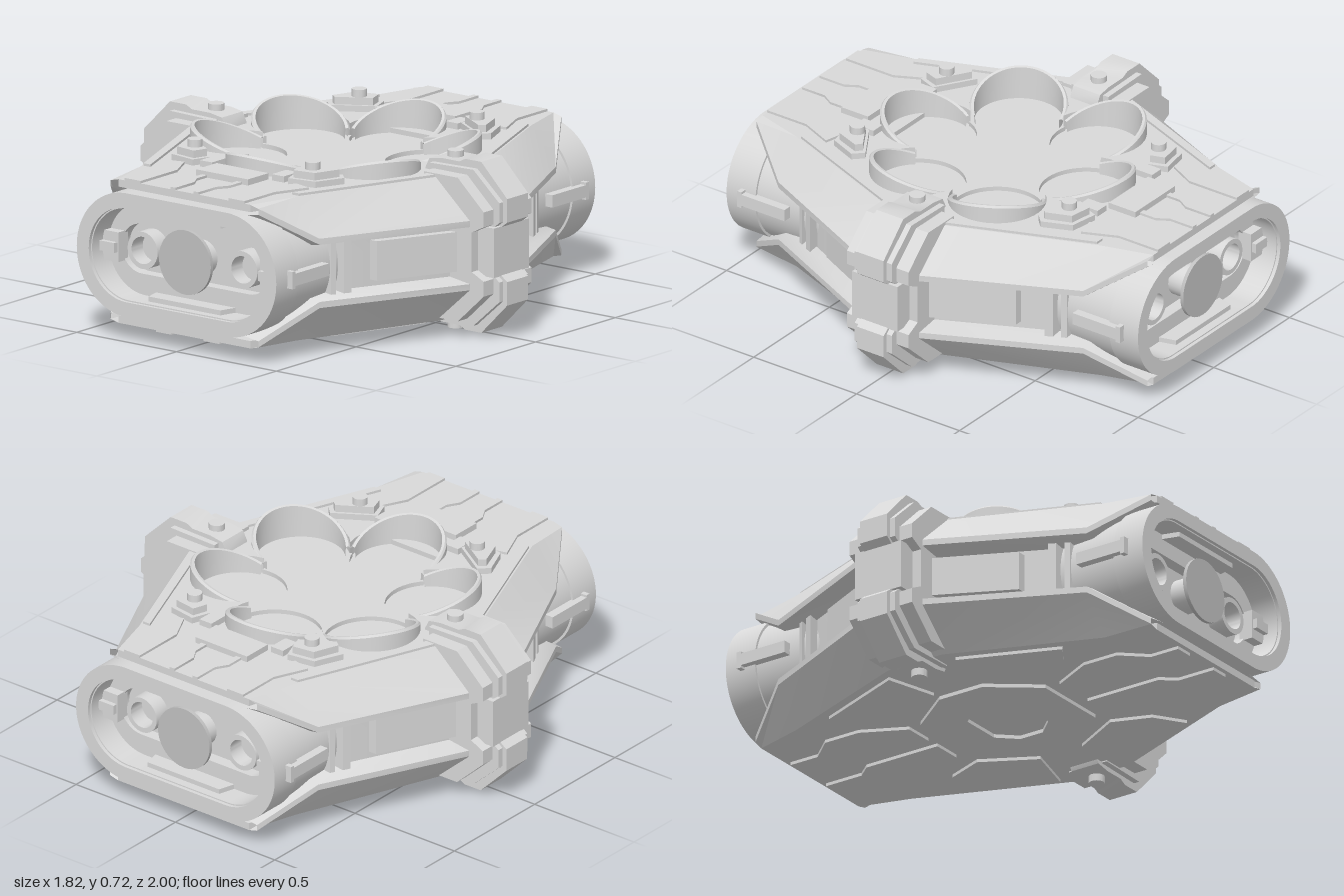
import * as THREE from 'three';
import { toCreasedNormals } from 'three/addons/utils/BufferGeometryUtils.js';

const material = (name, color) => {
  const m = new THREE.MeshStandardMaterial({ color, side: THREE.DoubleSide });
  m.name = name;
  return m;
};
const grey = material('hull grey', 0xd8d8d8);
const discGrey = material('disc grey', 0xc0c0c0);
const MID = 0.345; // height of the horizontal mirror plane

function add(parent, name, geo, mat = grey) {
  const m = new THREE.Mesh(toCreasedNormals(geo, 0.6), mat);
  m.name = name;
  parent.add(m);
}
const shapeOf = pts => new THREE.Shape(pts.map(p => new THREE.Vector2(p[0], p[1])));
const extrude = (shape, depth) =>
  new THREE.ExtrudeGeometry(shape, { depth, bevelEnabled: false, curveSegments: 20 });

// Plan outline in (x, z) raised from y0 to y1
function plan(pts, y0, y1, holePts) {
  const s = shapeOf(pts.map(([x, z]) => [x, -z]));
  if (holePts) s.holes.push(shapeOf(holePts.map(([x, z]) => [x, -z])));
  return extrude(s, y1 - y0).rotateX(-Math.PI / 2).translate(0, y0, 0);
}
const box = (w, h, d, x, y, z) => new THREE.BoxGeometry(w, h, d).translate(x, y, z);
const flip = g => g.translate(0, -MID, 0).rotateZ(Math.PI).translate(0, MID, 0);
const mirror4 = h => [...h, ...h.slice().reverse().map(([x, z]) => [x, -z]),
  ...h.map(([x, z]) => [-x, -z]), ...h.slice().reverse().map(([x, z]) => [-x, z])];

// Surface through rows of [x, y, z] points
function loft(rows) {
  const n = rows[0].length, idx = [];
  for (let i = 0; i < rows.length - 1; i++)
    for (let j = 0; j < n - 1; j++) {
      const a = i * n + j, b = a + n;
      idx.push(a, b, a + 1, b, b + 1, a + 1);
    }
  const g = new THREE.BufferGeometry();
  g.setAttribute('position', new THREE.Float32BufferAttribute(rows.flat(2), 3));
  g.setIndex(idx);
  g.computeVertexNormals();
  return g.toNonIndexed();
}

// Stadium in XY, used by the end collars
function stadium(half, r, Type = THREE.Shape) {
  const s = new Type();
  s.absarc(half, 0, r, -Math.PI / 2, Math.PI / 2, false);
  s.absarc(-half, 0, r, Math.PI / 2, Math.PI * 1.5, false);
  s.closePath();
  return s;
}
function stadiumRing(half, r, innerHalf, innerR, z0, z1) {
  const s = stadium(half, r);
  if (innerR) s.holes.push(stadium(innerHalf, innerR, THREE.Path));
  return extrude(s, z1 - z0).translate(0, 0.35, z0);
}

// Six arcs around the centre: outer rosette or inner star
const WELL_R = 0.194, WELL_D = 0.382, SPAN = 1.91;
function arcs(from, to, r) {
  const pts = [];
  for (let k = 0; k < 6; k++) {
    const a = Math.PI / 6 + k * Math.PI / 3;
    for (let i = 0; i <= 20; i++) {
      const t = a + from + (to - from) * i / 20;
      pts.push([WELL_D * Math.cos(a) + r * Math.cos(t), WELL_D * Math.sin(a) + r * Math.sin(t)]);
    }
  }
  return pts;
}

function buildHull(root) {
  const deck = mirror4([[0.33, 0.95], [0.39, 0.74], [0.63, 0.13]]);
  add(root, 'upperDeck', plan(deck, 0.605, 0.635, arcs(-SPAN, SPAN, WELL_R)));
  add(root, 'lowerDeck', plan(deck, 0.055, 0.085));
  // sloped armour on both sides, above and below
  const half = [[0.95, 0.33, 0.37, 0.6], [0.74, 0.39, 0.51, 0.46], [0.13, 0.63, 0.8, 0.46]];
  const stations = [...half, ...half.slice().reverse().map(([z, ...r]) => [-z, ...r])];
  for (const s of [1, -1]) {
    const armour = () => loft(stations.map(([z, xt, xo, yo]) => [
      [s * xt, 0.635, z], [s * xo, yo + 0.025, z], [s * xo, yo, z], [s * (xo - 0.1), yo - 0.015, z]]));
    add(root, 'upperArmour', armour());
    add(root, 'lowerArmour', flip(armour()));
  }
  add(root, 'core', plan(mirror4([[0.42, 0.7], [0.7, 0.13]]), 0.2, 0.5));
  // panels and ribs in the side recess
  const wall = z => 0.7 - (z - 0.13) * 0.491;
  for (const sx of [1, -1]) for (const sz of [1, -1]) {
    const slab = (z0, z1, out, y0, y1, name) => add(root, name, plan(
      [[wall(z0) - 0.05, z0], [wall(z0) + out, z0], [wall(z1) + out, z1], [wall(z1) - 0.05, z1]]
        .map(([x, z]) => [sx * x, sz * z]), y0, y1));
    slab(0.15, 0.46, 0.035, 0.27, 0.43, 'recessPanel');
    slab(0.57, 0.6, 0.05, 0.22, 0.47, 'recessRib');
    slab(0.63, 0.65, 0.05, 0.22, 0.47, 'recessRib');
    // raised trim on the deck
    const trim = (name, pts, y1) =>
      add(root, name, plan(pts.map(([x, z]) => [sx * x, sz * z]), 0.63, y1));
    trim('deckRidge', [[0.045, 0.95], [0.07, 0.95], [0.07, 0.84], [0.1, 0.79], [0.1, 0.6],
      [0.075, 0.6], [0.075, 0.78], [0.045, 0.83]], 0.645);
    trim('deckStrip', [[0.22, 0.95], [0.3, 0.95], [0.3, 0.76], [0.36, 0.62], [0.28, 0.6], [0.22, 0.72]], 0.645);
    trim('deckRail', [[0.39, 0.72], [0.62, 0.14], [0.58, 0.14], [0.355, 0.72]], 0.645);
    // corner clamps with bolts around the wells
    trim('bracketBase', [[0.21, 0.52], [0.24, 0.6], [0.36, 0.58], [0.41, 0.46], [0.37, 0.42]], 0.66);
    trim('bracketTop', [[0.23, 0.52], [0.25, 0.58], [0.345, 0.565], [0.385, 0.46], [0.36, 0.44]], 0.69);
    add(root, 'bracketBolt', new THREE.CylinderGeometry(0.03, 0.03, 0.04, 20)
      .translate(sx * 0.295, 0.7, sz * 0.515));
    add(root, 'bracketTab', box(0.06, 0.03, 0.09, sx * 0.18, 0.645, sz * 0.545));
  }
  for (const sz of [1, -1]) {
    add(root, 'deckLatch', box(0.26, 0.05, 0.13, 0, 0.635, sz * 0.65));
    add(root, 'bulkhead', box(0.66, 0.53, 0.04, 0, 0.345, sz * 0.68));
  }
}

function buildRosette(root) {
  add(root, 'wellFloor', plan(arcs(-SPAN, SPAN, WELL_R), 0.56, 0.57));
  add(root, 'starFloor', plan(arcs(2 * Math.PI - SPAN, SPAN, 0.187), 0.568, 0.588));
  // scooped well walls, highest on the outside
  for (let k = 0; k < 6; k++) {
    const a = Math.PI / 6 + k * Math.PI / 3, rows = [];
    for (let i = 0; i <= 32; i++) {
      const t = SPAN * (i / 16 - 1), rim = 0.57 + 0.14 * (1 + Math.cos(t)) / 2;
      rows.push([[0.194, 0.57], [0.194, rim - 0.008], [0.187, rim], [0.176, rim - 0.003], [0.174, 0.57]].map(([r, y]) =>
        [WELL_D * Math.cos(a) + r * Math.cos(a + t), y, WELL_D * Math.sin(a) + r * Math.sin(a + t)]));
    }
    add(root, 'wellWall', loft(rows));
  }
}

// Collar with a recessed port, facing +z
function buildEnd() {
  const g = new THREE.Group();
  g.name = 'endPort';
  add(g, 'collar', stadiumRing(0.25, 0.24, 0.25, 0.185, 0.5, 0.985));
  add(g, 'collarLip', stadiumRing(0.25, 0.25, 0.25, 0.19, 0.86, 1));
  add(g, 'portBack', stadiumRing(0.25, 0.2, 0, 0, 0.79, 0.83));
  add(g, 'portFrame', stadiumRing(0.25, 0.19, 0.27, 0.1, 0.83, 0.88));
  add(g, 'portStem', new THREE.CylinderGeometry(0.07, 0.07, 0.12, 24).rotateX(Math.PI / 2).translate(0, 0.35, 0.88));
  add(g, 'portDisc', new THREE.CylinderGeometry(0.13, 0.13, 0.015, 40).rotateX(Math.PI / 2).translate(0, 0.35, 0.94), discGrey);
  for (const s of [1, -1]) {
    const eye = new THREE.Shape().absarc(0, 0, 0.075, 0, Math.PI * 2, false);
    eye.holes.push(new THREE.Path().absarc(0, 0, 0.055, 0, Math.PI * 2, false));
    add(g, 'portEye', extrude(eye, 0.07).translate(s * 0.25, 0.35, 0.83));
    add(g, 'portClip', box(0.09, 0.12, 0.06, s * 0.4, 0.35, 0.89));
    add(g, 'portClipBar', box(0.1, 0.04, 0.08, s * 0.41, 0.35, 0.9));
    const ledgeY = 0.34 + s * 0.175;
    add(g, 'portLedge', plan([[-0.22, 0.8], [0.22, 0.8], [0.18, 0.95], [-0.18, 0.95]], ledgeY, ledgeY + 0.02));
    add(g, 'sideHandle', box(0.05, 0.05, 0.22, s * 0.5, 0.355, 0.81));
    add(g, 'handleTip', box(0.05, 0.07, 0.02, s * 0.5, 0.355, 0.92));
  }
  return g;
}

// Wrap-around clamp on the +x side
function buildClamp() {
  const g = new THREE.Group();
  g.name = 'sideClamp';
  const slice = (name, upper, w) => {
    const pts = [...upper, ...upper.slice().reverse().map(([x, y]) => [x, 0.72 - y])];
    add(g, name, extrude(shapeOf(pts), w).translate(0, 0, -w / 2));
  };
  slice('clampRidge', [[0.5, 0.64], [0.52, 0.68], [0.58, 0.69], [0.67, 0.69], [0.7, 0.705], [0.78, 0.705],
    [0.91, 0.575], [0.91, 0.48], [0.87, 0.45]], 0.13);
  slice('clampPlate', [[0.56, 0.65], [0.73, 0.65], [0.86, 0.53], [0.86, 0.47], [0.8, 0.44]], 0.3);
  slice('clampShoulder', [[0.54, 0.67], [0.76, 0.675], [0.89, 0.56], [0.89, 0.48], [0.84, 0.44]], 0.18);
  add(g, 'clampLock', box(0.08, 0.2, 0.22, 0.84, 0.36, 0));
  for (const y of [0.7, 0.015])
    add(g, 'clampBolt', new THREE.CylinderGeometry(0.032, 0.032, 0.03, 20).translate(0.6, y, 0));
  return g;
}

// Raised plates underneath
function buildBelly(root) {
  const ring = (rx, rz, c) => mirror4([[c, rz], [rx, c * 0.6]]);
  add(root, 'bellyPlate', plan(ring(0.32, 0.3, 0.17), 0.04, 0.06, ring(0.16, 0.13, 0.09)));
  for (const sx of [1, -1]) for (const sz of [1, -1]) {
    const pad = pts => add(root, 'bellyPad', plan(pts.map(([x, z]) => [sx * x, sz * z]), 0.042, 0.06));
    pad([[0.36, 0.1], [0.58, 0.16], [0.42, 0.56], [0.3, 0.48], [0.24, 0.32]]);
    pad([[0.03, 0.36], [0.16, 0.36], [0.25, 0.54], [0.25, 0.7], [0.16, 0.8], [0.16, 0.93], [0.08, 0.93], [0.08, 0.76], [0.03, 0.7]]);
  }
}

export function createModel() {
  const root = new THREE.Group();
  root.name = 'hexagonalPod';
  buildHull(root);
  buildRosette(root);
  buildBelly(root);
  for (const turn of [0, Math.PI]) {
    for (const part of [buildEnd(), buildClamp()]) {
      part.rotation.y = turn;
      root.add(part);
    }
  }
  return root;
}
